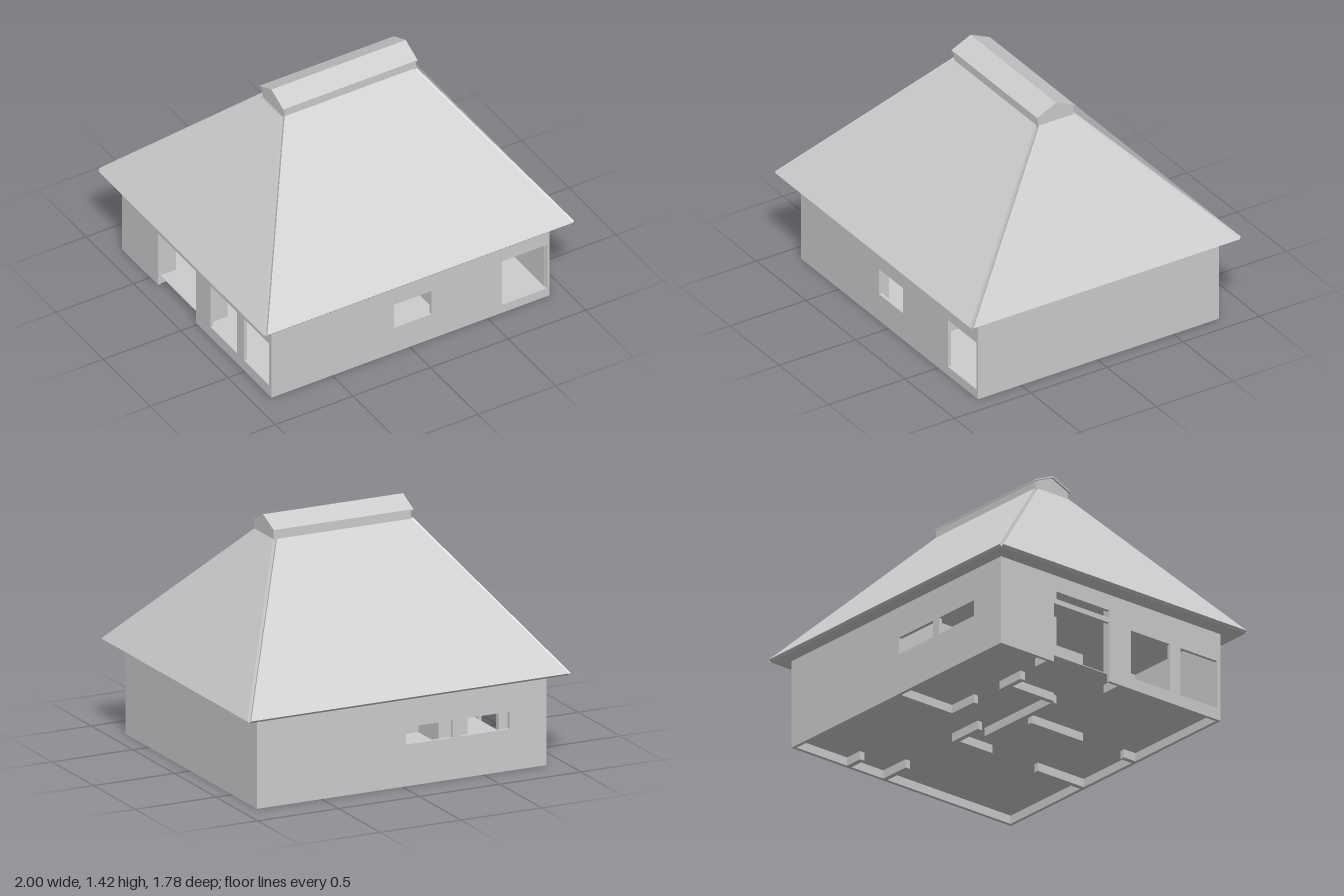
import * as THREE from 'three';

const grey = new THREE.MeshStandardMaterial({ color: 0xcccccc });
grey.name = 'plain grey';

const T = 0.02;                                        // outer wall thickness
const X0 = -0.89, X1 = 0.9, Z0 = -0.8, Z1 = 0.78;      // outer wall lines
const SILL = 0.355, TOP = 0.53, FLOOR = 0.055;

function add(parent, name, geometry) {
  const mesh = new THREE.Mesh(geometry, grey);
  mesh.name = name;
  parent.add(mesh);
  return mesh;
}

// Box given by its limits
function block(parent, name, x0, x1, y0, y1, z0, z1) {
  const mesh = add(parent, name, new THREE.BoxGeometry(x1 - x0, y1 - y0, z1 - z0));
  mesh.position.set((x0 + x1) / 2, (y0 + y1) / 2, (z0 + z1) / 2);
}

// Flat outline with rectangular holes [a0, a1, y0, y1], pushed out by depth
function plate(outline, holes, depth) {
  const shape = new THREE.Shape(outline.map(p => new THREE.Vector2(...p)));
  for (const [a, b, c, d] of holes) {
    shape.holes.push(new THREE.Path([[a, c], [a, d], [b, d], [b, c]].map(p => new THREE.Vector2(...p))));
  }
  return new THREE.ExtrudeGeometry(shape, { depth, bevelEnabled: false });
}

const rect = (a, b, c, d) => [[a, c], [b, c], [b, d], [a, d]];

// Four-cornered slab, corners anticlockwise from outside, thickened outwards
function slab(corners, thickness) {
  const p = corners.map(c => new THREE.Vector3(...c));
  const n = p[1].clone().sub(p[0]).cross(p[3].clone().sub(p[0])).normalize().multiplyScalar(thickness);
  const all = [...p, ...p.map(v => v.clone().add(n))];
  const index = [];
  const quad = (a, b, c, d) => index.push(a, b, c, a, c, d);
  quad(4, 5, 6, 7);
  quad(3, 2, 1, 0);
  for (let i = 0; i < 4; i++) {
    const j = (i + 1) % 4;
    quad(i, j, j + 4, i + 4);
  }
  let g = new THREE.BufferGeometry().setFromPoints(all);
  g.setIndex(index);
  g = g.toNonIndexed();
  g.computeVertexNormals();
  return g;
}

function buildWalls() {
  const walls = new THREE.Group();
  walls.name = 'walls';

  // Front wall: window and door
  add(walls, 'frontWall', plate(rect(X0, X1, 0, TOP),
    [[-0.1, 0.14, 0.17, 0.33], [0.595, 0.885, FLOOR, SILL]], T)).position.z = Z1 - T;
  // Back wall: two high windows
  add(walls, 'backWall', plate(rect(X0, X1, 0, TOP),
    [[-0.31, -0.02, 0.24, 0.34], [-0.66, -0.36, 0.24, 0.34]], T)).position.z = Z0;
  // Closed side wall
  block(walls, 'leftWall', X1 - T, X1, 0, TOP, Z0 + T, Z1 - T);
  // Open side wall: doorway to the ground, slot above it and two tall windows
  const z0 = Z0 + T, z1 = Z1 - T;
  const outline = [[z0, 0], [-0.42, 0], [-0.42, SILL], [-0.02, SILL], [-0.02, 0], [z1, 0], [z1, TOP], [z0, TOP]];
  const side = add(walls, 'rightWall', plate(outline,
    [[-0.4, -0.02, 0.385, 0.43], [0.135, 0.415, 0.07, SILL], [0.49, 0.755, 0.07, SILL]], T));
  side.rotation.y = -Math.PI / 2;
  side.position.x = X0 + T;

  block(walls, 'floor', X0 + T, X1 - T, FLOOR - 0.005, FLOOR, Z0 + T, Z1 - T);

  // Room partitions along x: [x0, x1, z]
  const h = 0.015;
  for (const [a, b, z] of [[0.77, 0.88, -0.4], [0.69, 0.88, -0.14], [0.05, 0.27, -0.16],
    [-0.48, 0.1, -0.07], [-0.6, -0.42, -0.4], [-0.2, 0, -0.4], [-0.87, -0.75, 0.07], [-0.87, -0.77, -0.44]]) {
    block(walls, 'partition', a, b, 0, TOP, z - h, z + h);
  }
  // Room partitions along z: [z0, z1, x]
  for (const [a, b, x] of [[-0.145, 0.09, 0.255], [-0.385, -0.085, -0.48], [-0.78, -0.415, 0],
    [0, 0.37, -0.185], [0.43, 0.76, 0.27], [0.68, 0.76, -0.17]]) {
    block(walls, 'partition', x - h, x + h, 0, TOP, a, b);
  }
  return walls;
}

function buildRoof() {
  const roof = new THREE.Group();
  roof.name = 'roof';

  // Eave and top rectangles of the hipped roof
  const ex = 0.984, ez = 0.876, ey = 0.525;
  const ax = -0.395, bx = 0.44, az = -0.13, bz = 0.091, ty = 1.296;
  const eave = [[-ex, ey, ez], [ex, ey, ez], [ex, ey, -ez], [-ex, ey, -ez]];
  const top = [[ax, ty, bz], [bx, ty, bz], [bx, ty, az], [ax, ty, az]];
  ['frontSlope', 'leftSlope', 'backSlope', 'rightSlope'].forEach((name, i) => {
    const j = (i + 1) % 4;
    add(roof, name, slab([eave[i], eave[j], top[j], top[i]], 0.02));
  });
  block(roof, 'soffit', -ex, ex, ey, ey + 0.008, -ez, ez);

  // Raised ridge: low walls under a small gable
  const along = (name, outline, x0, x1) => {
    const mesh = add(roof, name, plate(outline, [], x1 - x0));
    mesh.rotation.y = -Math.PI / 2;
    mesh.position.x = x1;
  };
  along('ridgeBox', [[-0.135, 1.29], [0.1, 1.29], [0.1, 1.36], [-0.018, 1.41], [-0.135, 1.36]], -0.393, 0.455);
  along('ridgeCap', [[-0.145, 1.355], [-0.018, 1.41], [0.108, 1.355], [0.108, 1.363], [-0.018, 1.42], [-0.145, 1.363]],
    -0.405, 0.46);
  return roof;
}

export function createModel() {
  const house = new THREE.Group();
  house.name = 'house';
  house.add(buildWalls(), buildRoof());
  return house;
}
